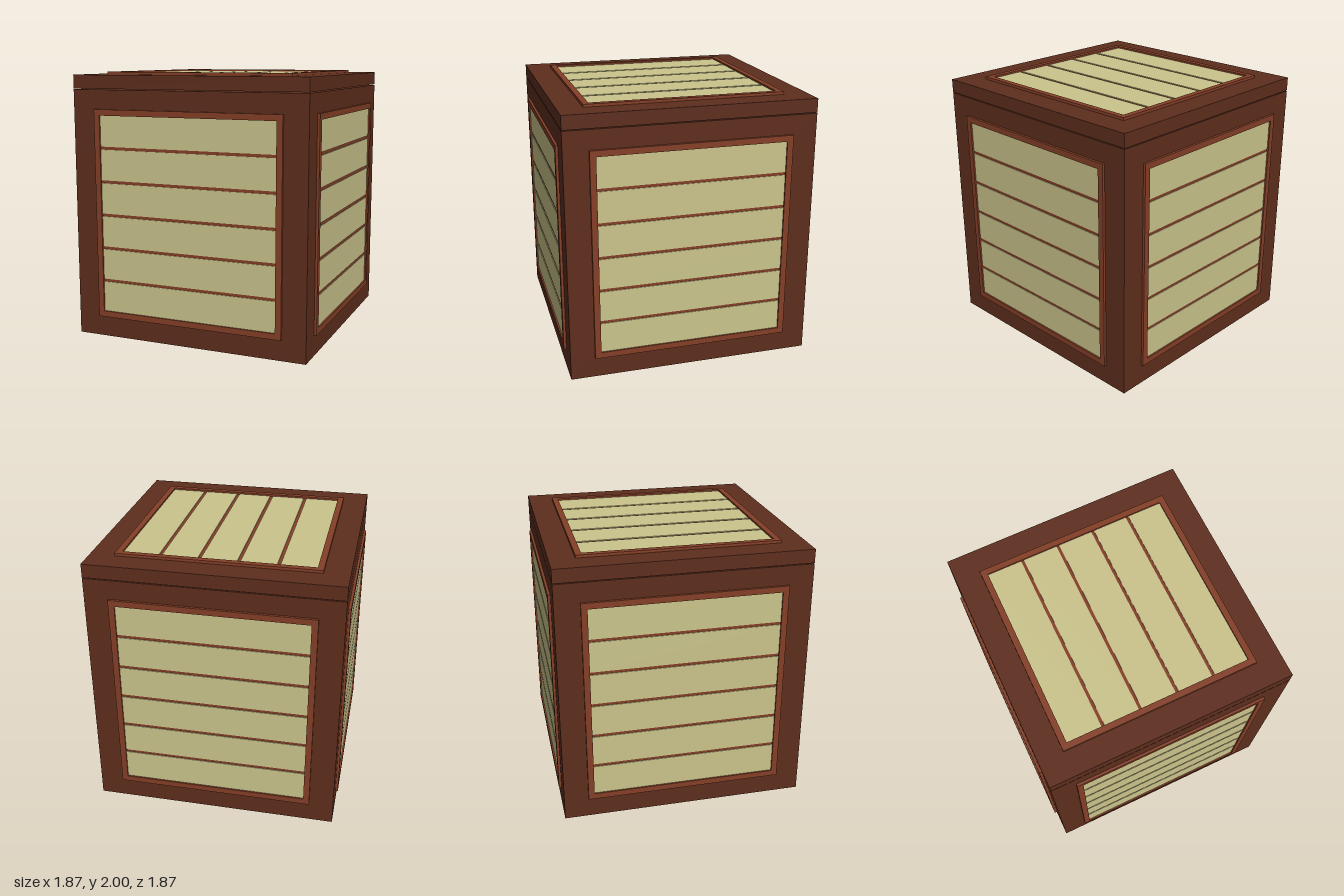
import * as THREE from 'three';

const frameMat = new THREE.MeshStandardMaterial({ color: 0x5e2e1d });
const trimMat = new THREE.MeshStandardMaterial({ color: 0x843f27 });
const slatMat = new THREE.MeshStandardMaterial({ color: 0xcbc48c });

const HALF = 0.915;      // half width of the crate
const RIM = 0.045;       // width of the raised rim
const GAP = 0.022;       // groove between slats

function box(name, w, h, d, mat, x, y, z) {
  const mesh = new THREE.Mesh(new THREE.BoxGeometry(w, h, d), mat);
  mesh.name = name;
  mesh.position.set(x, y, z);
  return mesh;
}

// Closed rectangle centred on the origin
function rect(Type, w, h) {
  return new Type([[-w, -h], [w, -h], [w, h], [-w, h]].map(([x, y]) => new THREE.Vector2(x / 2, y / 2)));
}

// Slatted panel facing +z, lying on the plane z = 0
function slattedPanel(name, w, h, count, rimHeight) {
  const panel = new THREE.Group();
  panel.name = name;
  const iw = w - 2 * RIM, ih = h - 2 * RIM;

  // Raised rim
  const outline = rect(THREE.Shape, w, h);
  outline.holes.push(rect(THREE.Path, iw, ih));
  const rim = new THREE.Mesh(
    new THREE.ExtrudeGeometry(outline, { depth: rimHeight, bevelEnabled: false }), trimMat);
  rim.name = 'panelRim';
  panel.add(rim);

  // Backing seen in the grooves
  panel.add(box('panelBacking', iw, ih, 0.012, trimMat, 0, 0, -0.004));

  // Slats
  const slat = (ih - GAP * (count - 1)) / count;
  for (let i = 0; i < count; i++) {
    const y = -ih / 2 + slat / 2 + i * (slat + GAP);
    panel.add(box('slat', iw, slat, 0.014, slatMat, 0, y, 0));
  }
  return panel;
}

export function createModel() {
  const crate = new THREE.Group();
  crate.name = 'crate';

  // Body and lid, with a thin seam between them
  crate.add(box('body', 2 * HALF, 1.873, 2 * HALF, frameMat, 0, 1.873 / 2, 0));
  crate.add(box('lid', 2 * HALF, 0.101, 2 * HALF, frameMat, 0, 1.9295, 0));

  // Four side panels
  ['frontPanel', 'leftPanel', 'backPanel', 'rightPanel'].forEach((name, i) => {
    const angle = i * Math.PI / 2;
    const panel = slattedPanel(name, 1.47, 1.575, 6, 0.019);
    panel.rotation.y = angle;
    panel.position.set(Math.sin(angle) * HALF, 0.9425, Math.cos(angle) * HALF);
    crate.add(panel);
  });

  // Lid panel, slats running front to back
  const top = slattedPanel('lidPanel', 1.465, 1.465, 5, 0.02);
  top.rotation.set(-Math.PI / 2, 0, Math.PI / 2);
  top.position.y = 1.98;
  crate.add(top);

  return crate;
}
